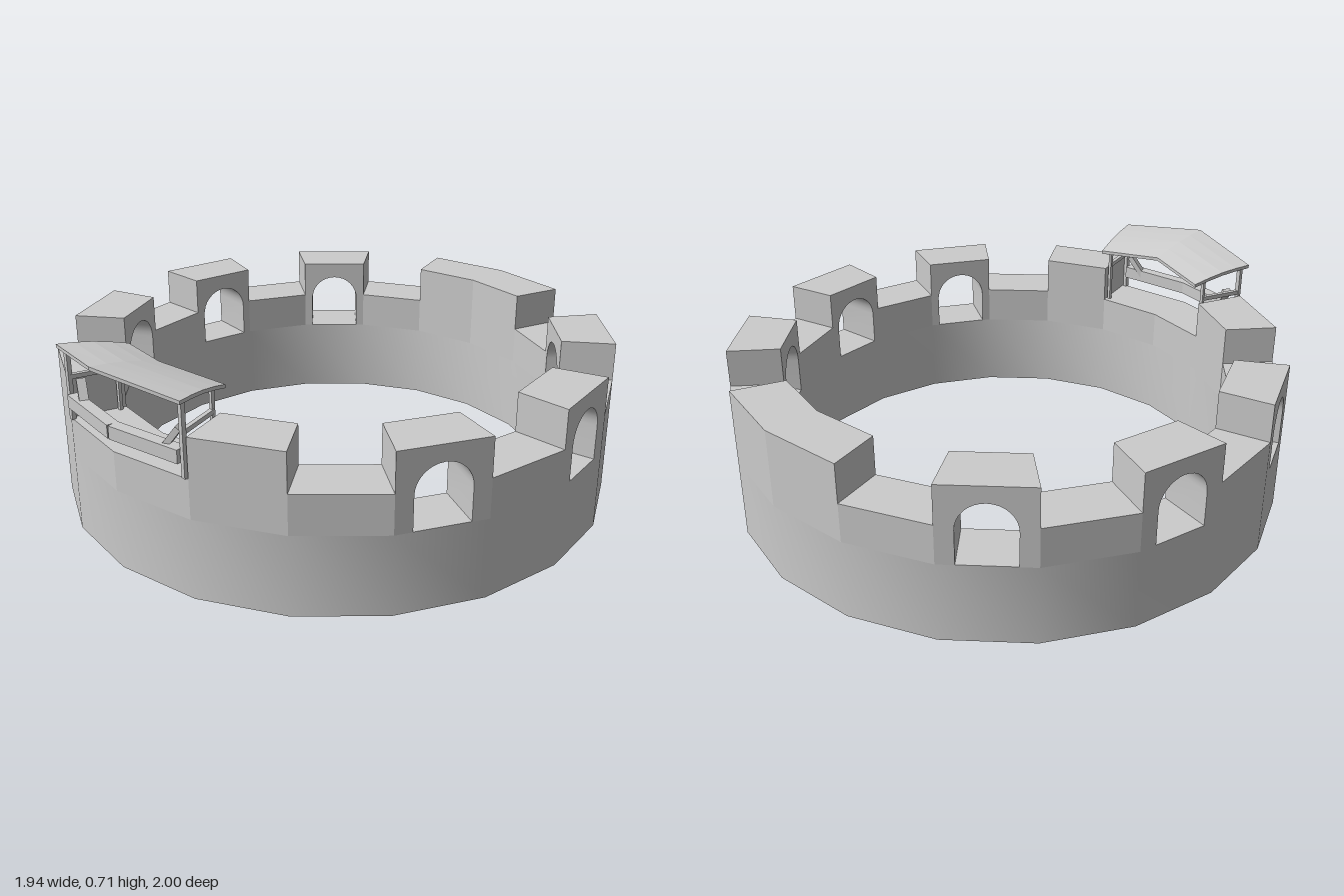
import * as THREE from 'three';
import { toCreasedNormals } from 'three/addons/utils/BufferGeometryUtils.js';

const SIDES = 20, STEP = (Math.PI * 2) / SIDES;
const R_OUT = 0.97, R_IN = 0.785;
const Y_BASE = 0.275, Y_GAP = 0.41, Y_TOP = 0.545;
const lerp = THREE.MathUtils.lerp;
const material = new THREE.MeshStandardMaterial({ color: 0xcccccc });
const flat = new THREE.MeshStandardMaterial({ color: 0xcccccc, flatShading: true });

function addMesh(parent, name, geometry, mat = material) {
  const mesh = new THREE.Mesh(geometry, mat);
  mesh.name = name;
  parent.add(mesh);
  return mesh;
}

// One wedge of the upper wall, optionally pierced by an arched window
function wallSegment(top, windowed) {
  const half = R_OUT * Math.sin(STEP / 2), apothem = Math.cos(STEP / 2);
  const shape = new THREE.Shape([
    new THREE.Vector2(-half, Y_BASE), new THREE.Vector2(half, Y_BASE),
    new THREE.Vector2(half, top), new THREE.Vector2(-half, top),
  ]);
  if (windowed) {
    // The opening rests just on top of the base ring
    const w = 0.093, spring = 0.395, sill = Y_BASE + 0.001;
    const hole = new THREE.Path();
    hole.moveTo(-w, sill);
    hole.lineTo(-w, spring);
    hole.absarc(0, spring, w, Math.PI, 0, true);
    hole.lineTo(w, sill);
    hole.closePath();
    shape.holes.push(hole);
  }
  const geo = new THREE.ExtrudeGeometry(shape, {
    depth: (R_OUT - R_IN) * apothem, bevelEnabled: false, curveSegments: 8,
  });
  geo.translate(0, 0, R_IN * apothem);
  // Narrow the inner face so the ends are radial; window jambs stay parallel
  const p = geo.attributes.position;
  for (let i = 0; i < p.count; i++) {
    if (Math.abs(p.getX(i)) > 0.1) p.setX(i, Math.sign(p.getX(i)) * p.getZ(i) * Math.tan(STEP / 2));
  }
  return toCreasedNormals(geo, 0.6);
}

// Square beam between two points
function beam(parent, name, a, b, w, h = w) {
  const from = new THREE.Vector3(...a), to = new THREE.Vector3(...b);
  const mesh = addMesh(parent, name, new THREE.BoxGeometry(w, h, from.distanceTo(to)), flat);
  mesh.position.copy(from).lerp(to, 0.5);
  mesh.lookAt(to);
}

// Gently arched roof sheet, bent along the middle and fanning outwards
function roofGeometry() {
  const geo = new THREE.BoxGeometry(2, 0.012, 1, 2, 1, 4);
  const p = geo.attributes.position;
  for (let i = 0; i < p.count; i++) {
    const u = p.getX(i), v = p.getZ(i) + 0.5, s = Math.abs(u);
    const z = lerp(lerp(0.75, 1.0, v), lerp(0.69, 0.915, v), s);
    const y = lerp(lerp(0.645, 0.7, v), lerp(0.622, 0.662, v), s);
    p.setXYZ(i, u * lerp(0.24, 0.31, v), y + p.getY(i) + 0.008 * Math.sin(Math.PI * v), z);
  }
  geo.computeVertexNormals();
  return geo;
}

export function createModel() {
  const model = new THREE.Group();
  model.name = 'roundFort';

  // Circular wall
  const wall = new THREE.Group();
  wall.name = 'wall';
  wall.position.z = -0.03;
  model.add(wall);
  const profile = [[R_IN, 0], [R_OUT, 0], [R_OUT, Y_BASE], [R_IN, Y_BASE], [R_IN, 0]]
    .map(([x, y]) => new THREE.Vector2(x, y));
  addMesh(wall, 'baseRing', toCreasedNormals(new THREE.LatheGeometry(profile, SIDES), 0.5));

  // Battlements: solid blocks at front and back, windowed merlons at the sides
  const windowed = [3, 5, 7], solid = [1, 9];
  for (const side of [1, -1]) {
    for (let k = 0; k < SIDES / 2; k++) {
      const hasWindow = windowed.includes(k);
      const raised = hasWindow || solid.includes(k);
      const name = hasWindow ? 'windowMerlon' : raised ? 'solidMerlon' : 'parapet';
      const mesh = addMesh(wall, name, wallSegment(raised ? Y_TOP : Y_GAP, hasWindow));
      mesh.rotation.y = side * (k + 0.5) * STEP;
    }
  }

  // Covered lookout over the front gap
  const lookout = new THREE.Group();
  lookout.name = 'lookout';
  model.add(lookout);
  addMesh(lookout, 'roof', roofGeometry(), flat);

  for (const s of [1, -1]) {
    beam(lookout, 'frontPost', [s * 0.287, Y_GAP, 0.893], [s * 0.287, 0.665, 0.893], 0.015);
    beam(lookout, 'backPost', [s * 0.238, Y_GAP, 0.742], [s * 0.238, 0.628, 0.742], 0.012);
    beam(lookout, 'sideRail', [s * 0.287, 0.558, 0.893], [s * 0.238, 0.558, 0.742], 0.015);
    beam(lookout, 'railBrace', [s * 0.2, 0.48, 0.9], [s * 0.25, 0.555, 0.875], 0.03, 0.02);
    beam(lookout, 'frontRail', [0, 0.48, 0.935], [s * 0.275, 0.48, 0.892], 0.04, 0.045);
  }
  return model;
}
